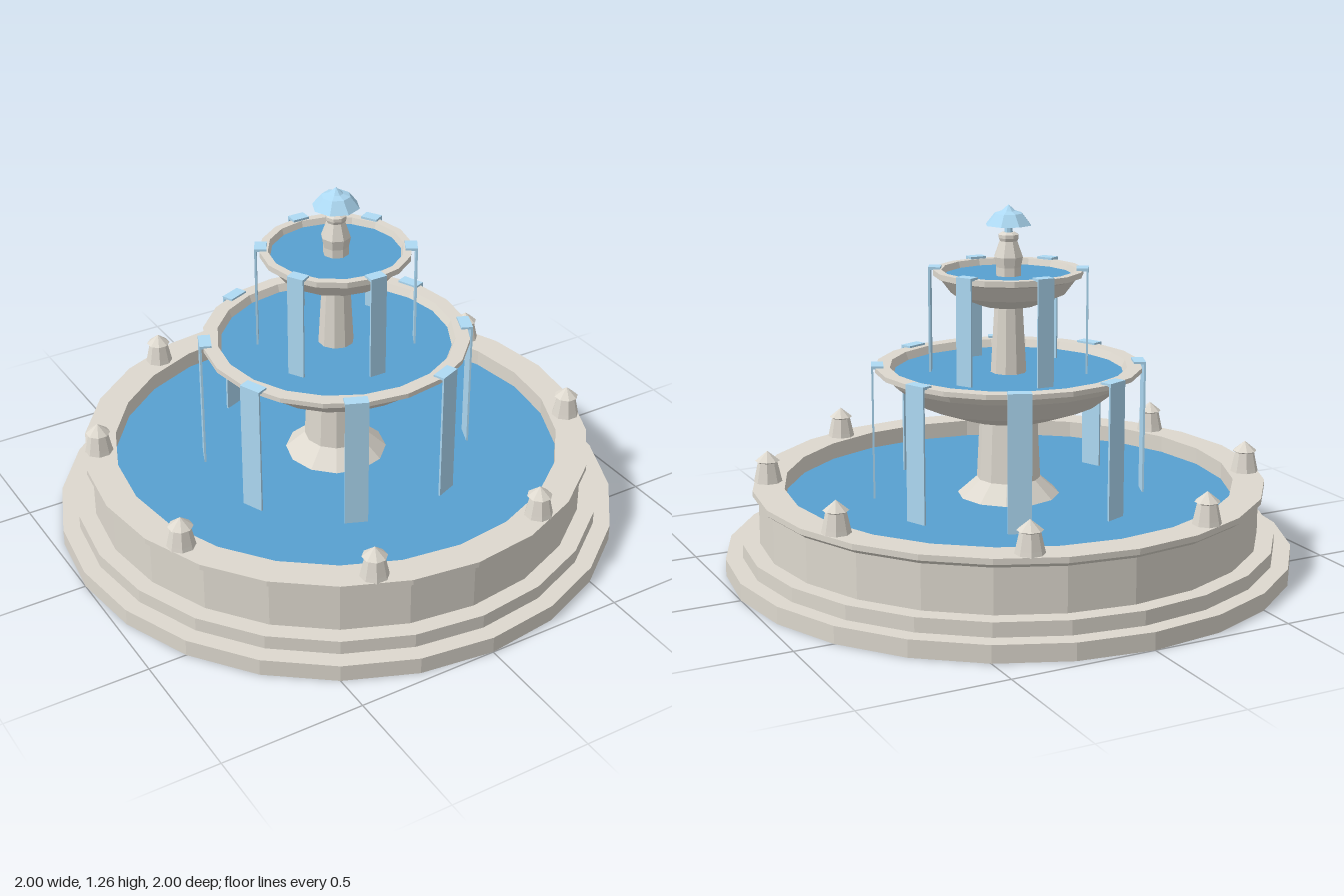
import * as THREE from 'three';

const mat = (color) => new THREE.MeshStandardMaterial({ color, flatShading: true });
const stone = mat(0xddd8ce);
const water = mat(0x58a0d0);
const spray = mat(0xaedaf4);

export function createModel() {
  const model = new THREE.Group();

  const add = (name, geometry, material, parent = model) => {
    const mesh = new THREE.Mesh(geometry, material);
    mesh.name = name;
    parent.add(mesh);
    return mesh;
  };
  // Turned part from [radius, height] pairs, running up the outside
  const turned = (name, profile, sides, material = stone) =>
    add(name, new THREE.LatheGeometry(profile.map(([r, y]) => new THREE.Vector2(r, y)), sides), material);
  const pool = (name, radius, y, sides) => turned(name, [[radius, y], [0, y]], sides, water);

  // Stepped basin with overhanging lip; the water covers its floor
  turned('basin', [
    [0, 0], [1, 0], [1, 0.06], [0.94, 0.06], [0.94, 0.11], [0.88, 0.11], [0.88, 0.265],
    [0.9, 0.28], [0.9, 0.3], [0.79, 0.3], [0.79, 0.22],
  ], 24);
  pool('basinWater', 0.79, 0.24, 24);

  // Lower pedestal with flared foot
  turned('lowerColumn', [[0.18, 0.22], [0.18, 0.24], [0.112, 0.3], [0.1, 0.55]], 12);

  // Lower bowl
  turned('lowerBowl', [
    [0, 0.53], [0.18, 0.53], [0.32, 0.582], [0.42, 0.66], [0.437, 0.685], [0.466, 0.69], [0.466, 0.707],
    [0.415, 0.707], [0.39, 0.65],
  ], 20);
  pool('lowerBowlWater', 0.403, 0.68, 20);

  // Upper pedestal
  turned('upperColumn', [[0.064, 0.66], [0.048, 0.94]], 10);

  // Upper bowl
  turned('upperBowl', [
    [0, 0.92], [0.1, 0.92], [0.2, 0.962], [0.24, 1.015], [0.26, 1.022], [0.26, 1.042],
    [0.232, 1.042], [0.218, 1.0],
  ], 16);
  pool('upperBowlWater', 0.225, 1.02, 16);

  // Finial and the spray above it
  turned('finial', [
    [0.045, 1.0], [0.045, 1.05], [0.052, 1.085], [0.032, 1.14], [0.036, 1.15], [0.036, 1.162], [0.022, 1.17], [0, 1.17],
  ], 8);
  turned('sprayJet', [[0.016, 1.16], [0.012, 1.23]], 8, spray);
  turned('sprayCap', [[0.012, 1.222], [0.082, 1.195], [0.05, 1.235], [0.025, 1.243], [0, 1.265]], 8, spray);

  // Water sheets: a short tongue over the rim and a thin fall outside it
  const falls = (name, count, offset, outer, width, bottom, top) => {
    for (let i = 0; i < count; i++) {
      const fall = new THREE.Group();
      fall.name = name;
      const tongue = add('tongue', new THREE.BoxGeometry(width, 0.01, 0.042), spray, fall);
      tongue.position.set(0, top - 0.005, outer - 0.021);
      const sheet = add('sheet', new THREE.BoxGeometry(width, top - bottom, 0.007), spray, fall);
      sheet.position.set(0, (top + bottom) / 2, outer - 0.0035);
      fall.rotation.y = offset + (i / count) * Math.PI * 2;
      model.add(fall);
    }
  };
  falls('lowerWaterfall', 8, Math.PI / 8, 0.478, 0.08, 0.238, 0.714);
  falls('upperWaterfall', 6, 0, 0.276, 0.06, 0.678, 1.05);

  // Eight small posts around the basin rim
  for (let i = 0; i < 8; i++) {
    const angle = (i + 0.5) * Math.PI / 4;
    const post = turned('rimPost', [
      [0.05, 0.298], [0.046, 0.315], [0.034, 0.37], [0.043, 0.375], [0, 0.41],
    ], 8);
    post.position.set(Math.sin(angle) * 0.845, 0, Math.cos(angle) * 0.845);
    post.rotation.y = angle;
  }

  return model;
}
